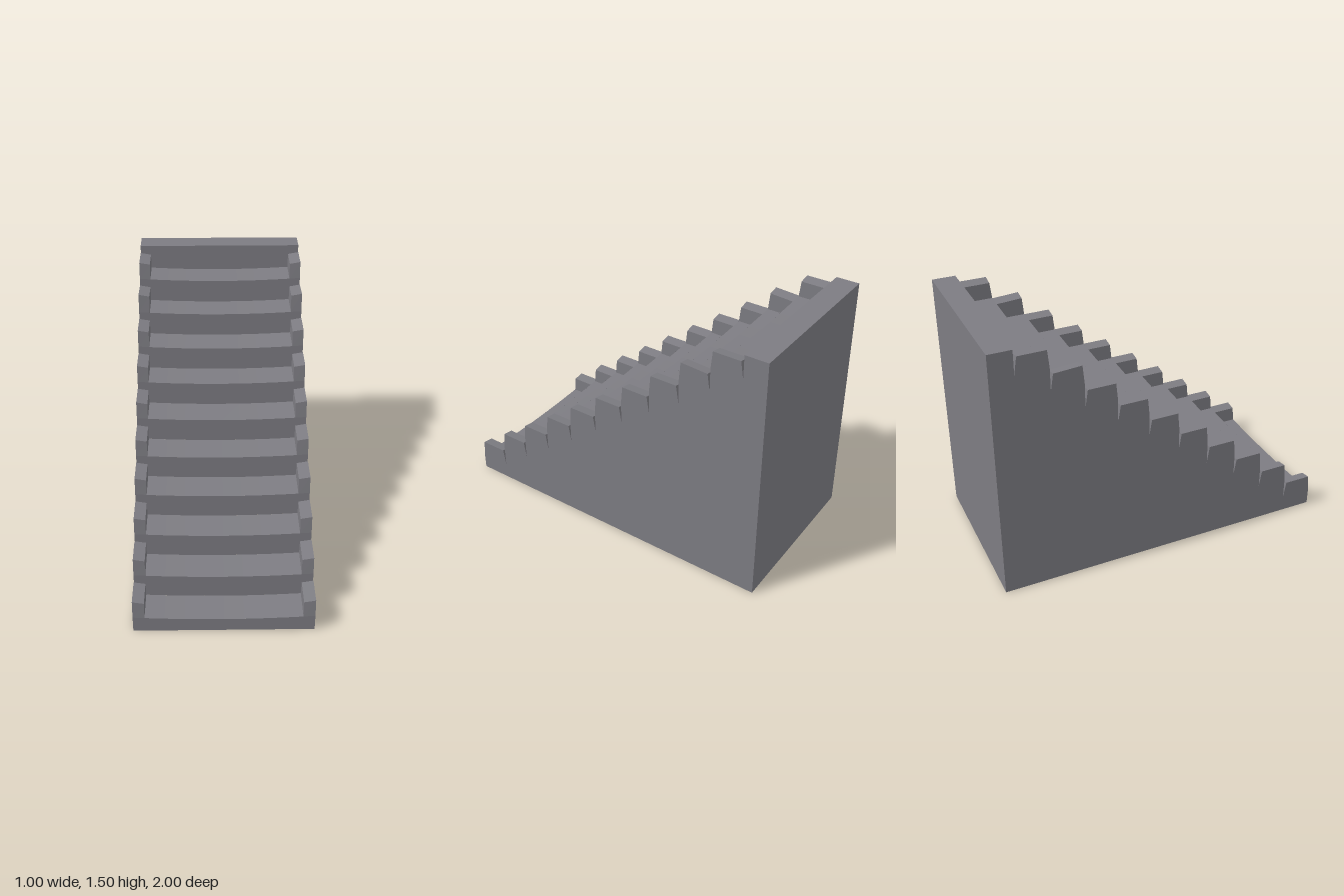
import * as THREE from 'three';

const STEPS = 10, RISE = 0.14, RUN = 0.1865;
const HALF = 0.5, INNER = 0.435, TOP = 1.5, BACK = -1;
const COLUMNS = 8;

// Height of a worn tread: it sags toward the middle
const treadY = (i, x) => (i < 0 ? 0 : 0.08 + RISE * i + 0.07 * x * x);
const frontZ = (i) => 1 - RUN * i;
const curbY = (i) => 0.2 + RISE * i;
const curbFrontY = (i) => curbY(i) + (i === 8 ? 0.01 : 0);

// Collects four-cornered faces into one flat-shaded geometry
function faces() {
  const pos = [];
  return {
    quad(a, b, c, d, flip = false) {
      const q = flip ? [d, c, b, a] : [a, b, c, d];
      for (const k of [0, 1, 2, 0, 2, 3]) pos.push(...q[k]);
    },
    build() {
      const g = new THREE.BufferGeometry();
      g.setAttribute('position', new THREE.Float32BufferAttribute(pos, 3));
      g.computeVertexNormals();
      return g;
    },
  };
}

// Upright strip facing the front, split into columns to follow the sag
function riser(i, width) {
  const f = faces(), z = frontZ(i);
  for (let k = 0; k < COLUMNS; k++) {
    const x0 = -width + (2 * width * k) / COLUMNS;
    const x1 = -width + (2 * width * (k + 1)) / COLUMNS;
    const top = (x) => (i === STEPS ? TOP : treadY(i, x));
    f.quad([x0, treadY(i - 1, x0), z], [x1, treadY(i - 1, x1), z], [x1, top(x1), z], [x0, top(x0), z]);
  }
  return f.build();
}

function tread(i) {
  const f = faces(), z0 = frontZ(i), z1 = frontZ(i + 1);
  for (let k = 0; k < COLUMNS; k++) {
    const x0 = -INNER + (2 * INNER * k) / COLUMNS;
    const x1 = -INNER + (2 * INNER * (k + 1)) / COLUMNS;
    const y0 = treadY(i, x0), y1 = treadY(i, x1);
    f.quad([x0, y0, z0], [x1, y1, z0], [x1, y1, z1], [x0, y0, z1]);
  }
  return f.build();
}

// Raised end of a step, with a leaning front and back and a sloped top
function curb(i, s) {
  const f = faces(), flip = s < 0;
  const section = (x, drop) => [
    [s * x, treadY(i, x), frontZ(i)],
    [s * x, curbFrontY(i) - drop, frontZ(i) - 0.01],
    [s * x, curbY(i) - drop, frontZ(i + 1) + 0.016],
    [s * x, treadY(i, x), frontZ(i + 1)],
  ];
  const a = section(INNER, 0.012), b = section(HALF, 0);
  for (let k = 0; k < 3; k++) f.quad(a[k], b[k], b[k + 1], a[k + 1], flip);
  f.quad(a[0], a[1], a[2], a[3], flip);
  return f.build();
}

// Notched side profile, drawn with -z along the shape's x
function sideWall(s) {
  const shape = new THREE.Shape();
  shape.moveTo(-1, 0);
  for (let i = 0; i < STEPS; i++) {
    shape.lineTo(-frontZ(i), treadY(i, HALF));
    shape.lineTo(-frontZ(i) + 0.01, curbFrontY(i));
    shape.lineTo(-frontZ(i + 1) - 0.016, curbY(i));
    shape.lineTo(-frontZ(i + 1), treadY(i, HALF));
  }
  shape.lineTo(-frontZ(STEPS), TOP);
  shape.lineTo(-BACK, TOP);
  shape.lineTo(-BACK, 0);
  const g = new THREE.ShapeGeometry(shape);
  g.rotateY(Math.PI / 2);
  g.translate(s * HALF, 0, 0);
  // Turn the right wall outward
  if (s < 0) {
    const idx = g.index;
    for (let k = 0; k < idx.count; k += 3) {
      const t = idx.getX(k);
      idx.setX(k, idx.getX(k + 2));
      idx.setX(k + 2, t);
    }
    g.computeVertexNormals();
  }
  return g;
}

export function createModel() {
  const group = new THREE.Group();
  group.name = 'staircase';
  const stone = new THREE.MeshStandardMaterial({ color: 0x7d7c82, side: THREE.DoubleSide });
  stone.name = 'grey stone';
  const add = (name, geometry) => {
    const mesh = new THREE.Mesh(geometry, stone);
    mesh.name = name;
    group.add(mesh);
  };

  // Steps with a curb at each end
  for (let i = 0; i < STEPS; i++) {
    add('riser' + (i + 1), riser(i, HALF));
    add('tread' + (i + 1), tread(i));
    add('leftCurb' + (i + 1), curb(i, 1));
    add('rightCurb' + (i + 1), curb(i, -1));
  }

  // Landing at the top
  add('landingRiser', riser(STEPS, HALF));
  const landing = faces(), z = frontZ(STEPS);
  landing.quad([-HALF, TOP, z], [HALF, TOP, z], [HALF, TOP, BACK], [-HALF, TOP, BACK]);
  add('landing', landing.build());

  // Outer walls; the underside stays open
  add('leftWall', sideWall(1));
  add('rightWall', sideWall(-1));
  const back = faces();
  back.quad([HALF, 0, BACK], [-HALF, 0, BACK], [-HALF, TOP, BACK], [HALF, TOP, BACK]);
  add('backWall', back.build());
  return group;
}
